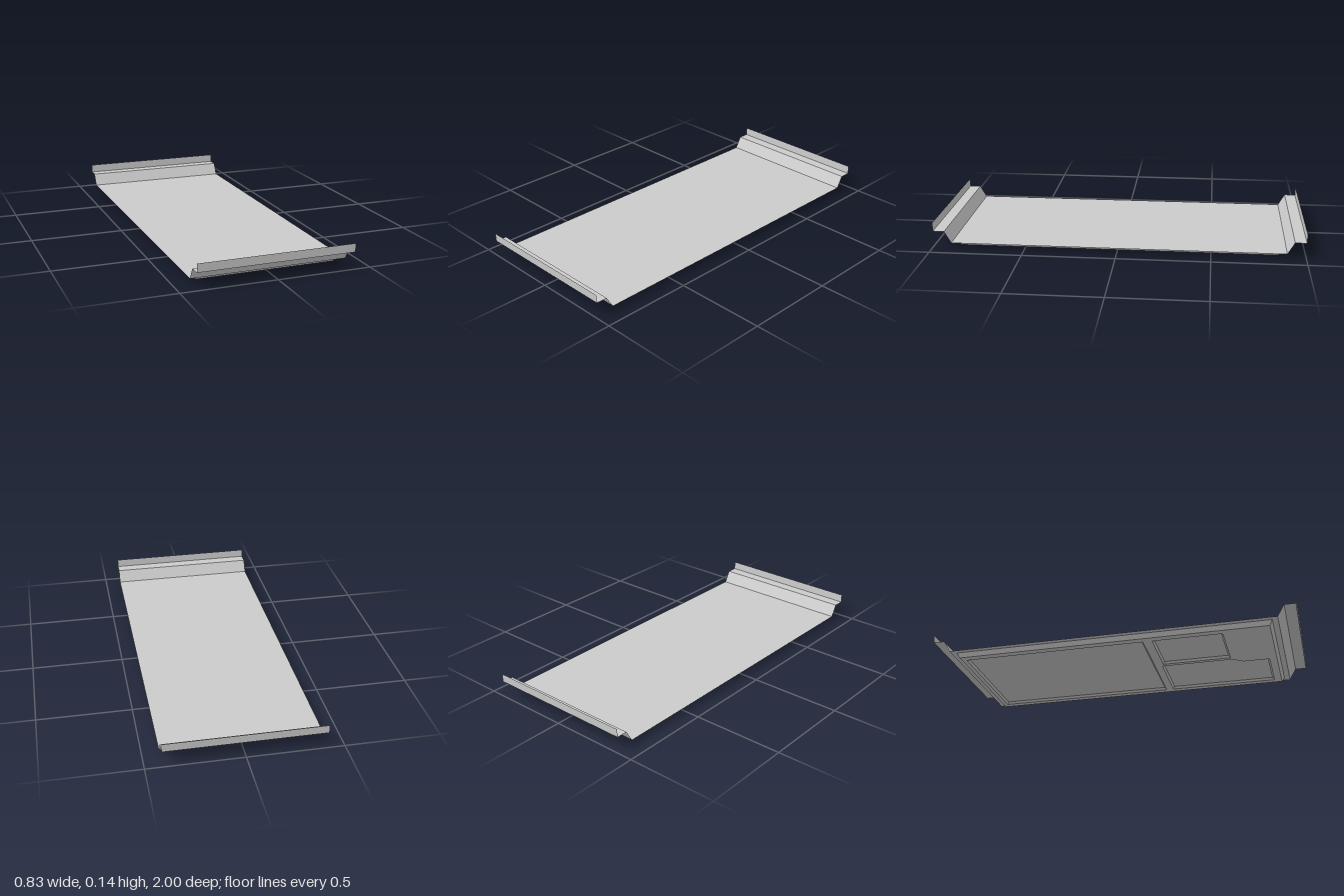
import * as THREE from 'three';

const material = new THREE.MeshStandardMaterial({ color: 0xcccccc, side: THREE.DoubleSide, flatShading: true });

function part(name, geometry) {
  const mesh = new THREE.Mesh(geometry, material);
  mesh.name = name;
  return mesh;
}

function fromQuads(quads) {
  const positions = quads.flatMap(([a, b, c, d]) => [a, b, c, a, c, d].flat());
  const g = new THREE.BufferGeometry();
  g.setAttribute('position', new THREE.Float32BufferAttribute(positions, 3));
  g.computeVertexNormals();
  return g;
}

// Sloped wall joining two matching [x, z] outlines at different heights
function band(a, ya, b, yb) {
  return fromQuads(a.map((p, i) => {
    const j = (i + 1) % a.length;
    return [[p[0], ya, p[1]], [a[j][0], ya, a[j][1]], [b[j][0], yb, b[j][1]], [b[i][0], yb, b[i][1]]];
  }));
}

// Downward-facing flat face with optional holes
function face(outline, y, holes = []) {
  const toPoints = (pts) => pts.map(([x, z]) => new THREE.Vector2(x, z));
  const shape = new THREE.Shape(toPoints(outline));
  holes.forEach((h) => shape.holes.push(new THREE.Path(toPoints(h))));
  return new THREE.ShapeGeometry(shape).rotateX(Math.PI / 2).translate(0, y, 0);
}

const rect = (x0, x1, z0, z1) => [[x0, z0], [x1, z0], [x1, z1], [x0, z1]];

// Shrink a counter-clockwise outline by distance d with mitred corners
function inset(pts, d) {
  const n = pts.length;
  const normal = (p, q) => {
    const l = Math.hypot(q[0] - p[0], q[1] - p[1]);
    return [-(q[1] - p[1]) / l, (q[0] - p[0]) / l];
  };
  return pts.map((p, i) => {
    const a = normal(pts[(i + n - 1) % n], p);
    const b = normal(p, pts[(i + 1) % n]);
    const k = d / (1 + a[0] * b[0] + a[1] * b[1]);
    return [p[0] + (a[0] + b[0]) * k, p[1] + (a[1] + b[1]) * k];
  });
}

export function createModel() {
  const group = new THREE.Group();
  group.name = 'tray panel';
  const halfWidth = 0.415, sheetY = 0.025, pocketY = 0.012;

  // Thin sheet: flat centre with a stepped, upturned lip at each end
  const half = [[0.9, sheetY], [0.937, 0.089], [0.998, 0.089], [1, 0.135]];
  const lip = (s) => fromQuads(half.slice(1).map(([z, y], i) => {
    const [z0, y0] = half[i];
    const w = halfWidth * s;
    return [[-w, y0, s * z0], [w, y0, s * z0], [w, y, s * z], [-w, y, s * z]].reverse();
  }));
  const w = halfWidth;
  group.add(part('flatSheet', fromQuads([
    [[-w, sheetY, 0.9], [w, sheetY, 0.9], [w, sheetY, -0.9], [-w, sheetY, -0.9]],
  ])));
  group.add(part('frontLip', lip(1)), part('backLip', lip(-1)));

  // Shallow underside frame with tapered edges
  const frameTop = rect(-0.385, 0.385, -0.87, 0.87);
  const frameBottom = rect(-0.37, 0.37, -0.855, 0.855);
  const pockets = {
    largePocket: rect(-0.33, 0.335, -0.83, 0.175),
    steppedPocket: [[0, 0.215], [0.335, 0.215], [0.335, 0.815], [0.04, 0.815], [0.04, 0.67], [0, 0.61]],
    smallPocket: rect(-0.33, -0.025, 0.225, 0.605),
  };
  group.add(part('frameEdge', band(frameTop, sheetY, frameBottom, 0)));
  group.add(part('frameUnderside', face(frameBottom, 0, Object.values(pockets))));

  // Recessed pockets between the ribs
  for (const [name, rim] of Object.entries(pockets)) {
    const floor = inset(rim, 0.01);
    const pocket = new THREE.Group();
    pocket.name = name;
    pocket.add(part(name + 'Wall', band(rim, 0, floor, pocketY)));
    pocket.add(part(name + 'Floor', face(floor, pocketY)));
    group.add(pocket);
  }
  return group;
}
